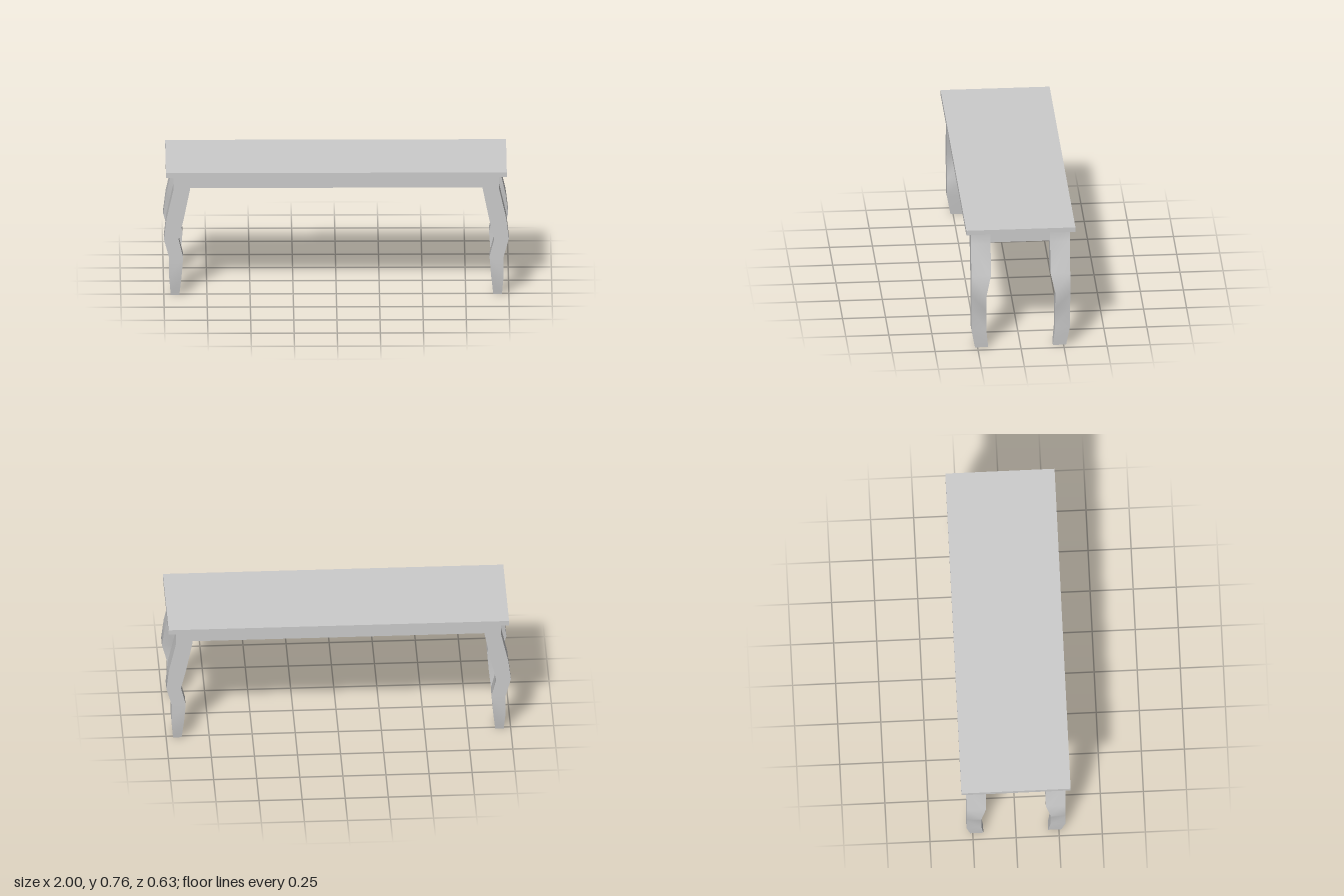
import * as THREE from 'three';

const material = new THREE.MeshStandardMaterial({ color: 0xcccccc });

// Leg cross-sections, top to bottom: y, inner x, outer x, inner z, outer z
const LEG = [
  [0.728, 0.848, 0.943, 0.173, 0.288],
  [0.65, 0.848, 0.943, 0.173, 0.288],
  [0.467, 0.885, 0.985, 0.173, 0.287],
  [0.345, 0.915, 1.0, 0.2, 0.287],
  [0.235, 0.888, 0.97, 0.2, 0.287],
  [0.12, 0.897, 0.97, 0.2, 0.287],
  [0, 0.91, 0.96, 0.188, 0.265],
];

function box(name, w, h, d, y) {
  const mesh = new THREE.Mesh(new THREE.BoxGeometry(w, h, d), material);
  mesh.name = name;
  mesh.position.y = y;
  return mesh;
}

// Four side strips, smooth along the leg but sharp at the corners, plus end caps
function legGeometry(sx, sz) {
  const pos = [], index = [];
  const flip = sx * sz < 0;
  const quad = (a, b, c, d) =>
    index.push(...(flip ? [a, c, b, a, d, c] : [a, b, c, a, c, d]));
  const corners = ([y, xi, xo, zi, zo]) =>
    [[xi, zo], [xo, zo], [xo, zi], [xi, zi]].map(([x, z]) => [x * sx, y, z * sz]);
  const rings = LEG.map(corners);

  for (let side = 0; side < 4; side++) {
    const start = pos.length / 3;
    for (const ring of rings) pos.push(...ring[side], ...ring[(side + 1) % 4]);
    for (let i = 0; i < rings.length - 1; i++) {
      const a = start + i * 2;
      quad(a, a + 2, a + 3, a + 1);
    }
  }
  const top = pos.length / 3;
  pos.push(...rings[0].flat(), ...rings[rings.length - 1].flat());
  quad(top, top + 1, top + 2, top + 3);
  quad(top + 7, top + 6, top + 5, top + 4);

  const geometry = new THREE.BufferGeometry();
  geometry.setAttribute('position', new THREE.Float32BufferAttribute(pos, 3));
  geometry.setIndex(index);
  geometry.computeVertexNormals();
  return geometry;
}

export function createModel() {
  const table = new THREE.Group();
  table.name = 'table';

  // Top board and the solid apron block beneath it
  table.add(box('tableTop', 1.976, 0.029, 0.634, 0.7425));
  table.add(box('apron', 1.86, 0.076, 0.545, 0.69));

  // Four curved legs, mirrored to the corners
  for (const [end, sz] of [['front', 1], ['back', -1]]) {
    for (const [side, sx] of [['Left', 1], ['Right', -1]]) {
      const leg = new THREE.Mesh(legGeometry(sx, sz), material);
      leg.name = `${end}${side}Leg`;
      table.add(leg);
    }
  }
  return table;
}
